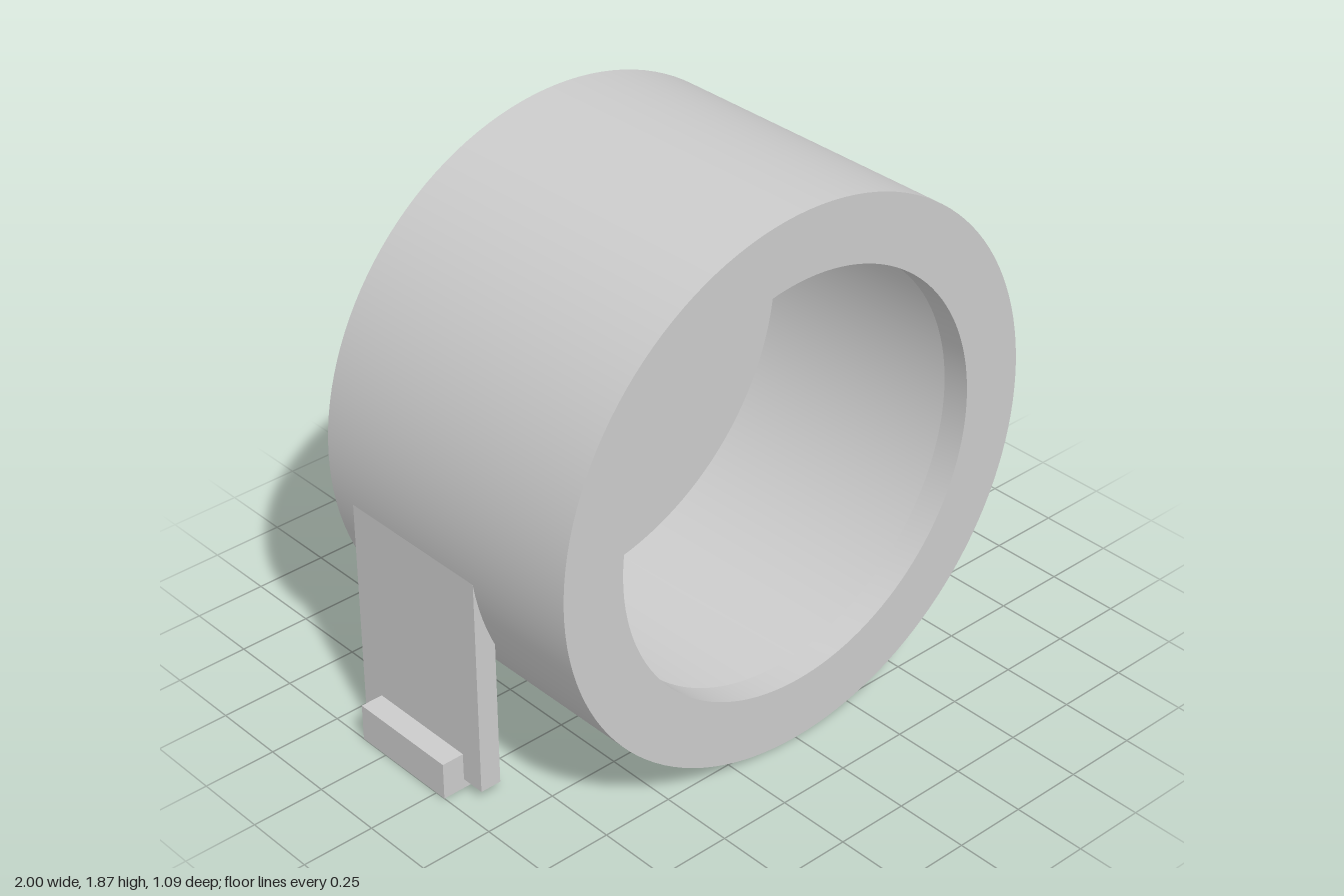
import * as THREE from 'three';
import { toCreasedNormals } from 'three/addons/utils/BufferGeometryUtils.js';

const material = new THREE.MeshStandardMaterial({ color: 0xcccccc });

// Box given by its x, y and z extents
function block(name, [x0, x1], [y0, y1], [z0, z1]) {
  const mesh = new THREE.Mesh(new THREE.BoxGeometry(x1 - x0, y1 - y0, z1 - z0), material);
  mesh.position.set((x0 + x1) / 2, (y0 + y1) / 2, (z0 + z1) / 2);
  mesh.name = name;
  return mesh;
}

export function createModel() {
  const model = new THREE.Group();
  model.name = 'cylindricalHousing';

  // Thin-walled cup with a closed back and a lip around the front opening
  const profile = [
    [0, -0.543], [0.932, -0.543], [0.932, 0.543], [0.71, 0.543],
    [0.71, 0.448], [0.854, 0.448], [0.854, -0.462], [0, -0.462],
  ].map(([r, z]) => new THREE.Vector2(r, z));
  const shell = toCreasedNormals(new THREE.LatheGeometry(profile, 128), Math.PI / 6);
  shell.rotateX(Math.PI / 2);
  const housing = new THREE.Mesh(shell, material);
  housing.name = 'housing';
  housing.position.y = 0.935;
  model.add(housing);

  // Clip leg on each side: flat arm running into the housing wall, with a stepped foot
  for (const side of [1, -1]) {
    const span = (a, b) => (side > 0 ? [a, b] : [-b, -a]);
    const leg = new THREE.Group();
    leg.name = side > 0 ? 'leftLeg' : 'rightLeg';
    leg.add(
      block('arm', span(0.848, 0.922), [0.033, 0.82], [-0.448, 0.122]),
      block('footSole', span(0.885, 1), [0, 0.033], [-0.362, 0.038]),
      block('footCatch', span(0.922, 1), [0.033, 0.129], [-0.362, 0.038]),
    );
    model.add(leg);
  }
  return model;
}
